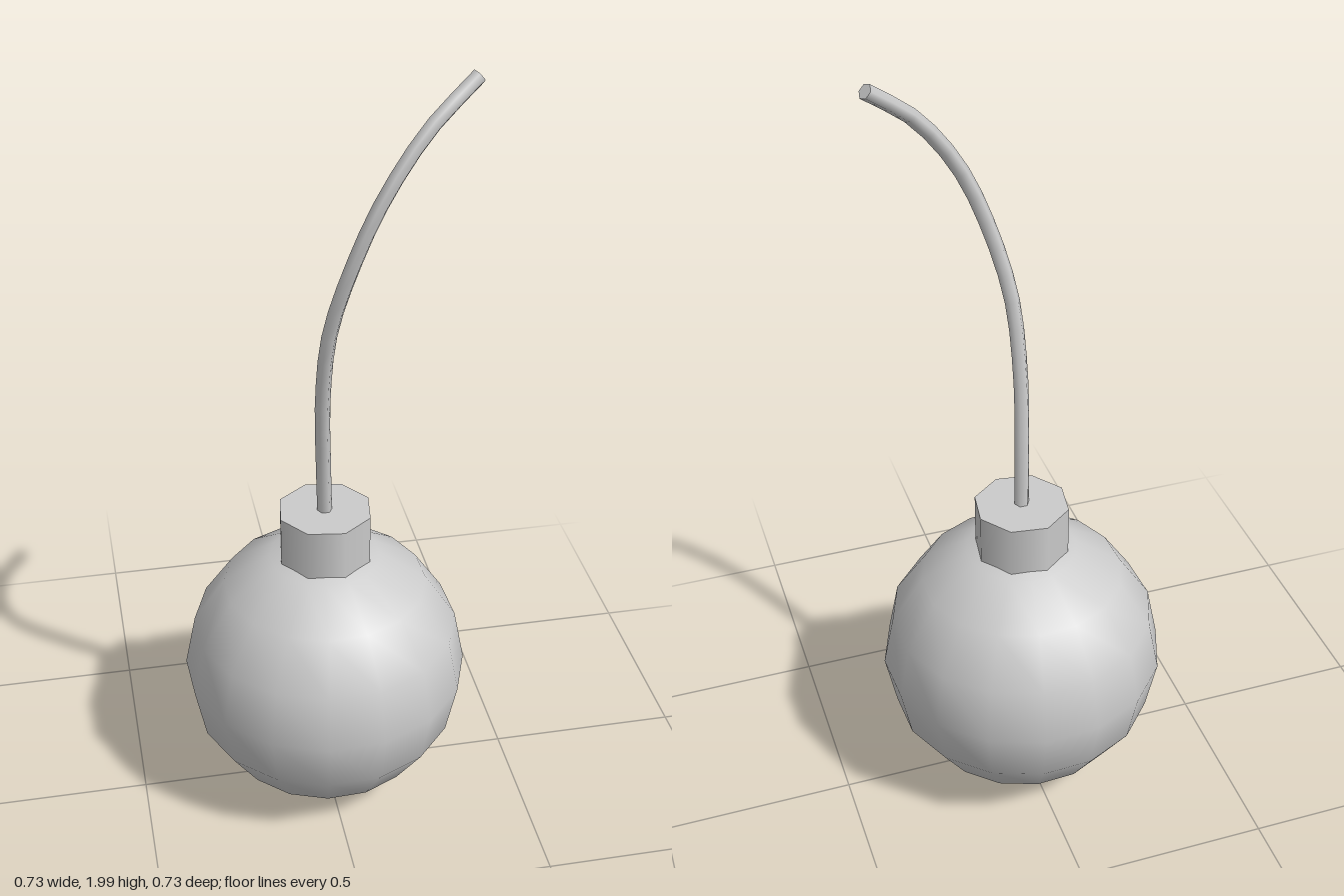
import * as THREE from 'three';

const material = new THREE.MeshStandardMaterial({ color: 0xcccccc, side: THREE.DoubleSide });

function addPart(group, name, geometry) {
  const mesh = new THREE.Mesh(geometry, material);
  mesh.name = name;
  group.add(mesh);
  return mesh;
}

// Flat lid made from the last ring of a tube
function tubeEndCap(tube, sides, center) {
  const pos = tube.attributes.position;
  const first = pos.count - (sides + 1);
  const ring = [];
  for (let i = 0; i <= sides; i++) ring.push(new THREE.Vector3().fromBufferAttribute(pos, first + i));
  const points = [];
  for (let i = 0; i < sides; i++) points.push(center, ring[i], ring[i + 1]);
  const cap = new THREE.BufferGeometry().setFromPoints(points);
  cap.computeVertexNormals();
  return cap;
}

export function createModel() {
  const bomb = new THREE.Group();
  bomb.name = 'bomb';

  // Round body, slightly turned about its axis
  const body = addPart(bomb, 'body', new THREE.SphereGeometry(0.37, 16, 8));
  body.position.y = 0.375;
  body.rotation.y = THREE.MathUtils.degToRad(-8.9);

  // Eight-sided neck
  const neck = addPart(bomb, 'neck', new THREE.CylinderGeometry(0.122, 0.122, 0.155, 8));
  neck.position.y = 0.778;
  neck.rotation.y = THREE.MathUtils.degToRad(14.2);

  // Bent fuse rising from the neck
  const path = new THREE.CatmullRomCurve3([
    [0, 0.83, 0], [-0.007, 1.0, 0.018], [-0.015, 1.2, 0.052], [-0.006, 1.4, 0.092],
    [0.038, 1.58, 0.126], [0.105, 1.74, 0.132], [0.21, 1.885, 0.104], [0.33, 1.985, 0.06],
  ].map((p) => new THREE.Vector3(...p)));
  const sides = 6;
  const tube = new THREE.TubeGeometry(path, 18, 0.019, sides);
  addPart(bomb, 'fuse', tube);
  addPart(bomb, 'fuseTip', tubeEndCap(tube, sides, path.getPoint(1)));

  return bomb;
}
